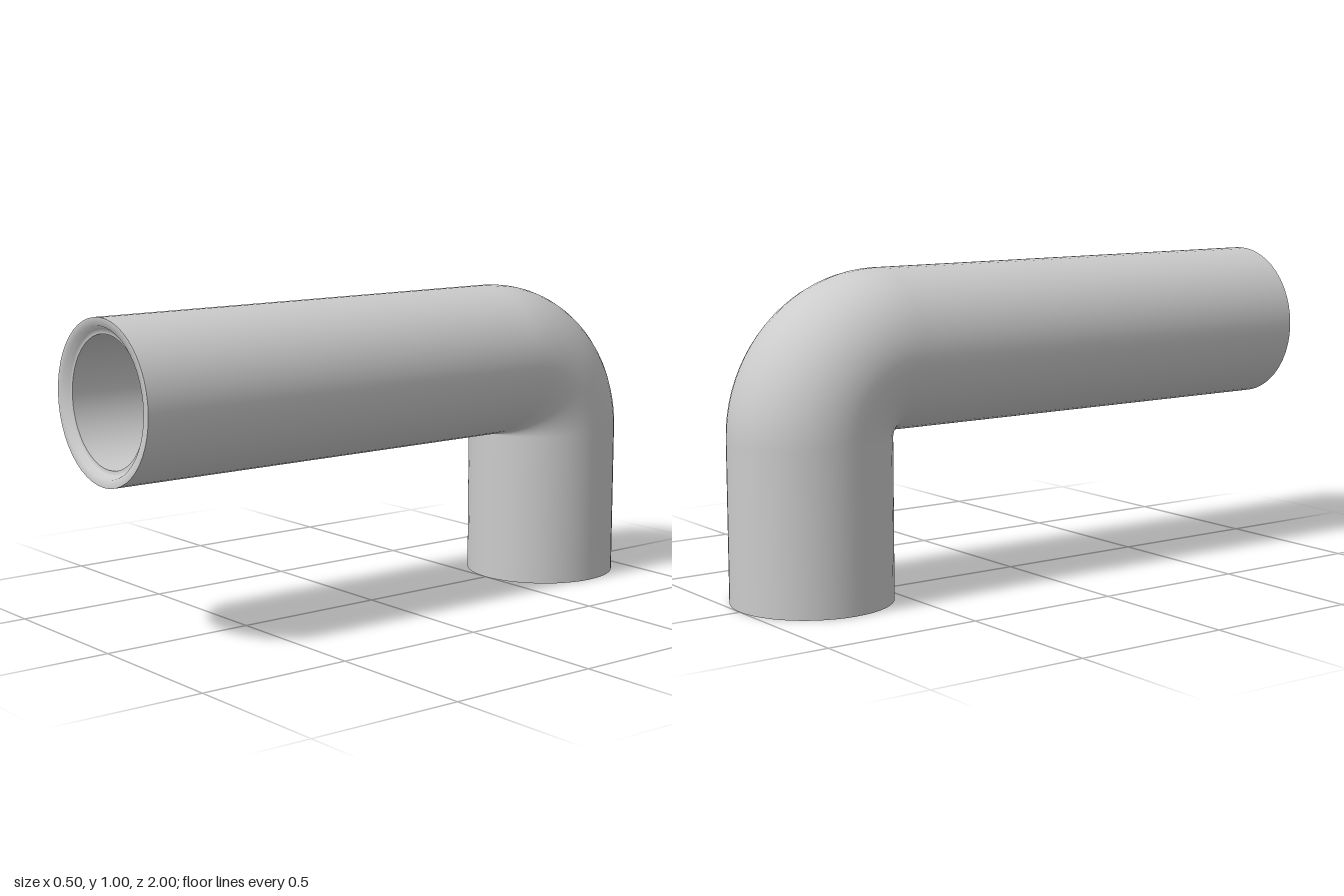
import * as THREE from 'three';

const OUTER = 0.25, BORE = 0.2, BEND = 0.25, RECESS = 0.02, SIDES = 48;

// Stations along the centre line: centre (y, z) and the in-plane direction v (y, z)
function stations(inset) {
  const list = [{ c: [0.75, 1 - inset], v: [1, 0] }];
  for (let i = 0; i <= 20; i++) {
    const t = (i / 20) * Math.PI / 2;
    const v = [Math.cos(t), -Math.sin(t)];
    list.push({ c: [0.5 + BEND * v[0], -0.5 + BEND * v[1]], v });
  }
  list.push({ c: [inset, -0.75], v: [0, -1] });
  return list;
}

// Circular sweep along the elbow; the wall faces outward or inward
function elbowWall(radius, inset, inward) {
  const pos = [], nor = [], idx = [], rings = stations(inset), sign = inward ? -1 : 1;
  rings.forEach(({ c, v }, i) => {
    for (let j = 0; j <= SIDES; j++) {
      const a = (j / SIDES) * Math.PI * 2;
      const n = [Math.cos(a), Math.sin(a) * v[0], Math.sin(a) * v[1]];
      pos.push(radius * n[0], c[0] + radius * n[1], c[1] + radius * n[2]);
      nor.push(sign * n[0], sign * n[1], sign * n[2]);
      if (i < rings.length - 1 && j < SIDES) {
        const p = i * (SIDES + 1) + j, q = p + SIDES + 1;
        if (inward) idx.push(p, p + 1, q, p + 1, q + 1, q);
        else idx.push(p, q, p + 1, p + 1, q, q + 1);
      }
    }
  });
  const g = new THREE.BufferGeometry();
  g.setAttribute('position', new THREE.Float32BufferAttribute(pos, 3));
  g.setAttribute('normal', new THREE.Float32BufferAttribute(nor, 3));
  g.setIndex(idx);
  return g;
}

export function createModel() {
  const group = new THREE.Group();
  group.name = 'pipeElbow';
  const material = new THREE.MeshStandardMaterial({ color: 0xcccccc });
  const add = (name, geometry) => {
    const mesh = new THREE.Mesh(geometry, material);
    mesh.name = name;
    group.add(mesh);
    return mesh;
  };

  // Outer skin and hollow bore
  add('outerWall', elbowWall(OUTER, 0, false));
  add('innerWall', elbowWall(BORE, RECESS, true));

  // End rims with a shallow recessed step on the inside
  const profile = [[BORE, RECESS], [0.215, RECESS], [0.225, 0], [OUTER, 0]]
    .map(([r, y]) => new THREE.Vector2(r, y));
  const rim = new THREE.LatheGeometry(profile, SIDES);
  add('bottomRim', rim).position.set(0, 0, -0.75);
  const front = add('frontRim', rim);
  front.rotation.x = -Math.PI / 2;
  front.position.set(0, 0.75, 1);

  return group;
}
